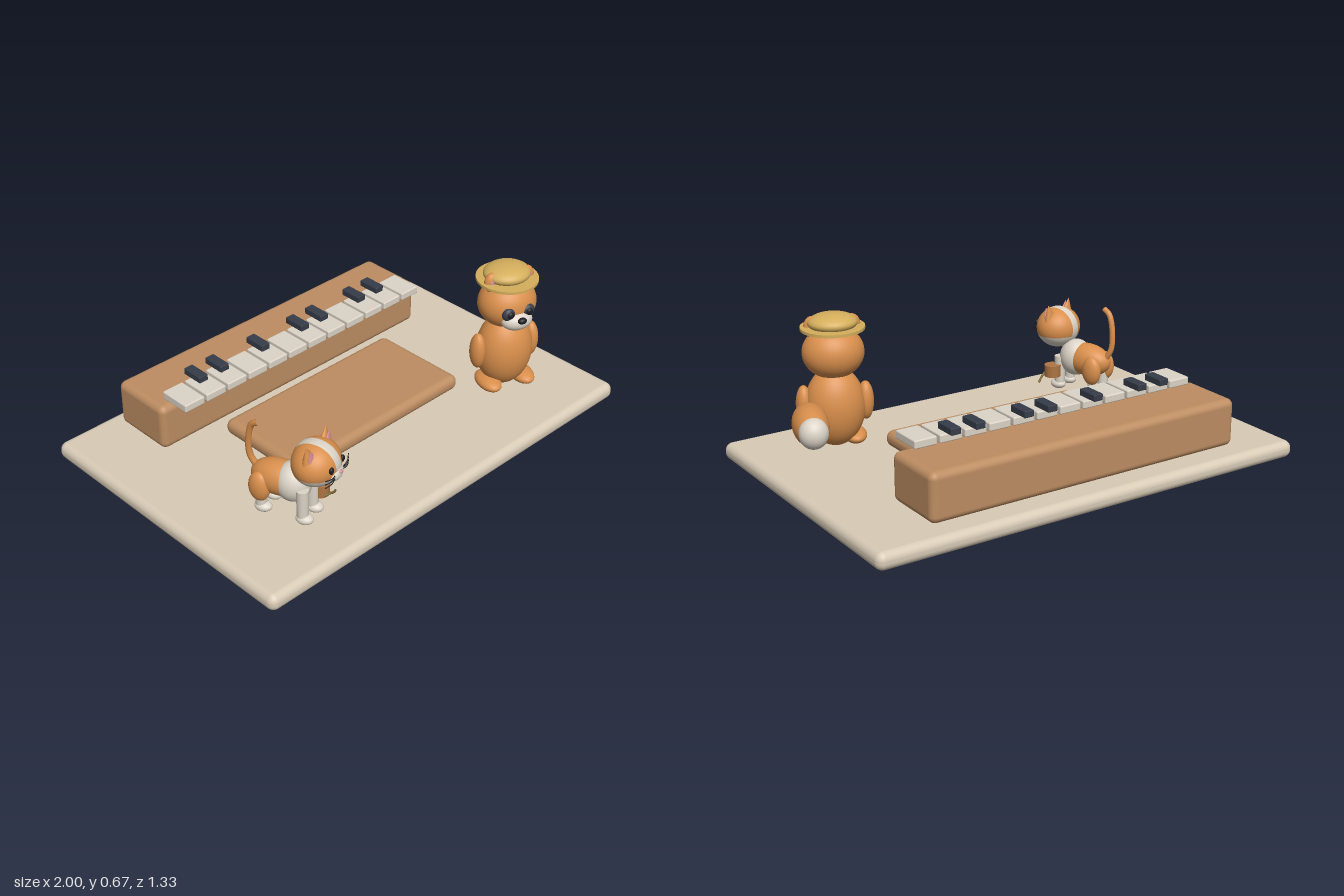
import * as THREE from 'three';
import { RoundedBoxGeometry } from 'three/addons/geometries/RoundedBoxGeometry.js';

const paint = (name, color) => {
  const m = new THREE.MeshStandardMaterial({ color });
  m.name = name;
  return m;
};

export function createModel() {
  const stone = paint('stone', 0xd8cbb6), cream = paint('cream', 0xdcd4c7);
  const orange = paint('orange fur', 0xd98f4c), wood = paint('wood', 0xbd8d62);
  const straw = paint('straw', 0xd4ae5c), dark = paint('slate', 0x363c48);
  const pink = paint('pink', 0xd58f95), olive = paint('olive', 0x7c6a38);
  const leather = paint('brown', 0xb07643), black = paint('black', 0x1b1c20);

  const model = new THREE.Group();
  model.name = 'pianoScene';

  const add = (parent, name, geo, mat, x = 0, y = 0, z = 0) => {
    const mesh = new THREE.Mesh(geo, mat);
    mesh.name = name;
    mesh.position.set(x, y, z);
    parent.add(mesh);
    return mesh;
  };
  // Ellipsoid with radii r at position p
  const ball = (parent, name, mat, r, p) =>
    add(parent, name, new THREE.SphereGeometry(1, 32, 24).scale(...r), mat, ...p);
  // Rounded block given by its minimum and maximum corners
  const block = (name, mat, a, b, radius) =>
    add(model, name, new RoundedBoxGeometry(b[0] - a[0], b[1] - a[1], b[2] - a[2], 4, radius), mat,
      (a[0] + b[0]) / 2, (a[1] + b[1]) / 2, (a[2] + b[2]) / 2);
  const tube = (parent, name, mat, r, points) =>
    add(parent, name, new THREE.TubeGeometry(
      new THREE.CatmullRomCurve3(points.map((p) => new THREE.Vector3(...p))), 24, r, 8), mat);

  // Platform, piano and bench
  block('platform', stone, [-1, 0, -0.665], [1, 0.075, 0.665], 0.034);
  block('pianoBody', wood, [-0.73, 0.088, -0.585], [0.73, 0.293, -0.293], 0.03);
  block('bench', wood, [-0.468, 0.085, -0.225], [0.468, 0.155, 0.23], 0.032);

  // Keyboard
  for (let i = 0; i < 12; i++) {
    const x = -0.626 + i * 0.1123;
    block('whiteKey', cream, [x - 0.05, 0.298, -0.35], [x + 0.05, 0.333, -0.205], 0.006);
    if ([1, 2, 4, 6, 7, 9, 10].includes(i))
      block('blackKey', dark, [x - 0.022, 0.334, -0.385], [x + 0.022, 0.363, -0.284], 0.004);
  }

  // Bushy-tailed animal in a straw hat
  const panda = new THREE.Group();
  panda.name = 'hattedAnimal';
  panda.position.set(0.64, 0, 0.325);
  panda.rotation.y = -0.35;
  model.add(panda);
  ball(panda, 'body', orange, [0.125, 0.17, 0.11], [0, 0.268, 0]);
  ball(panda, 'head', orange, [0.128, 0.11, 0.112], [0, 0.5, 0]);
  ball(panda, 'muzzle', cream, [0.07, 0.044, 0.05], [0, 0.457, 0.088]);
  ball(panda, 'nose', black, [0.02, 0.014, 0.015], [0, 0.475, 0.135]);
  for (const s of [-1, 1]) {
    ball(panda, 'eyePatch', dark, [0.03, 0.03, 0.02], [s * 0.045, 0.497, 0.098]);
    ball(panda, 'eye', black, [0.015, 0.016, 0.01], [s * 0.044, 0.499, 0.114]);
    ball(panda, 'ear', orange, [0.036, 0.045, 0.024], [s * 0.08, 0.61, 0.005]);
    ball(panda, 'innerEar', pink, [0.02, 0.026, 0.01], [s * 0.08, 0.612, 0.022]);
    ball(panda, 'arm', orange, [0.034, 0.083, 0.041], [s * 0.127, 0.282, 0]);
    ball(panda, 'foot', orange, [0.05, 0.031, 0.083], [s * 0.08, 0.128, 0.022]);
  }
  ball(panda, 'tail', orange, [0.074, 0.078, 0.155], [0.125, 0.265, -0.195]);
  ball(panda, 'tailTip', cream, [0.06, 0.064, 0.056], [0.125, 0.265, -0.295]);
  add(panda, 'hatBrim', new THREE.CylinderGeometry(0.132, 0.132, 0.012, 40), straw, 0, 0.607, -0.01);
  ball(panda, 'hatCrown', straw, [0.102, 0.04, 0.092], [0, 0.63, -0.015]);

  // Cat
  const cat = new THREE.Group();
  cat.name = 'cat';
  cat.position.set(-0.63, 0, 0.3);
  cat.rotation.y = 0.34;
  model.add(cat);
  ball(cat, 'body', orange, [0.07, 0.074, 0.12], [0, 0.24, 0]);
  ball(cat, 'chest', cream, [0.073, 0.084, 0.075], [0, 0.24, 0.06]);
  for (const s of [-1, 1]) {
    ball(cat, 'haunch', orange, [0.032, 0.066, 0.046], [s * 0.054, 0.21, -0.06]);
    for (const z of [-0.06, 0.12]) {
      add(cat, 'leg', new THREE.CylinderGeometry(0.025, 0.023, 0.14, 20), cream, s * 0.042, 0.175, z);
      ball(cat, 'paw', cream, [0.029, 0.022, 0.037], [s * 0.042, 0.11, z + 0.008]);
    }
  }
  tube(cat, 'tail', orange, 0.013, [
    [0, 0.26, -0.1], [-0.005, 0.31, -0.125], [-0.01, 0.4, -0.125], [-0.015, 0.465, -0.105], [-0.02, 0.485, -0.075],
  ]);

  // Cat head: orange cap, cream lower face and forehead stripe
  const head = new THREE.Group();
  head.name = 'catHead';
  head.position.set(0, 0.367, 0.16);
  cat.add(head);
  const R = [0.107, 0.092, 0.095], split = Math.PI * 0.6;
  add(head, 'headTop', new THREE.SphereGeometry(1, 40, 24, 0, Math.PI * 2, 0, split).scale(...R), orange);
  add(head, 'lowerFace', new THREE.SphereGeometry(1, 40, 16, 0, Math.PI * 2, split, Math.PI - split).scale(...R), cream);
  add(head, 'foreheadStripe', new THREE.SphereGeometry(1.012, 40, 6, 0, Math.PI * 2, Math.PI / 2 - 0.19, 0.38)
    .rotateZ(Math.PI / 2).scale(...R), cream);
  ball(head, 'muzzle', cream, [0.045, 0.028, 0.025], [0, -0.025, 0.08]);
  ball(head, 'nose', pink, [0.01, 0.007, 0.007], [0, -0.012, 0.103]);
  for (const s of [-1, 1]) {
    ball(head, 'eye', black, [0.012, 0.015, 0.009], [s * 0.045, 0.014, 0.086]);
    const ear = add(head, 'ear', new THREE.ConeGeometry(0.036, 0.07, 20).scale(1, 1, 0.6), orange, s * 0.072, 0.083, 0);
    ear.rotation.z = -s * 0.25;
    const inner = add(head, 'innerEar', new THREE.ConeGeometry(0.025, 0.05, 16).scale(1, 1, 0.4), pink, s * 0.072, 0.08, 0.015);
    inner.rotation.z = -s * 0.25;
    for (const k of [-1, 0, 1])
      tube(head, 'whisker', black, 0.0018, [
        [s * 0.035, -0.02 + k * 0.007, 0.095], [s * 0.065, -0.018 + k * 0.011, 0.097], [s * 0.098, -0.016 + k * 0.016, 0.085],
      ]);
  }

  // Little pouch with a trailing cord beside the cat
  add(model, 'pouch', new THREE.CylinderGeometry(0.038, 0.036, 0.054, 28), leather, -0.512, 0.181, 0.403);
  tube(model, 'cord', olive, 0.005, [
    [-0.53, 0.165, 0.437], [-0.5, 0.165, 0.44], [-0.47, 0.148, 0.43], [-0.44, 0.13, 0.41],
  ]);

  return model;
}
